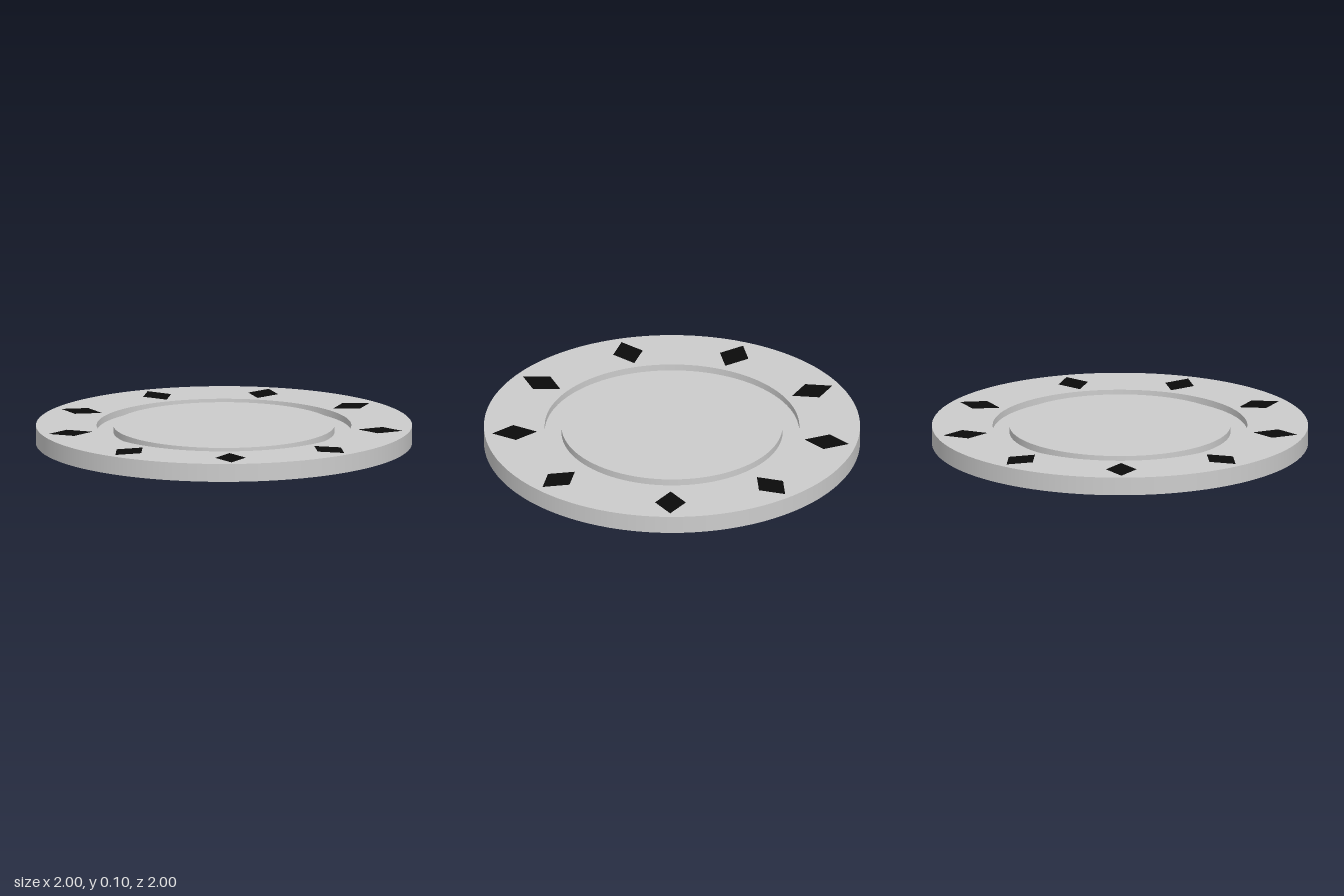
import * as THREE from 'three';

const SEG = 96, TOP = 0.097, FLOOR = 0.061;
const R_OUT = 1, R_GROOVE = 0.677, R_DISC = 0.588;

const circlePath = (path, r) => path.absarc(0, 0, r, 0, Math.PI * 2, false);

// Diamond corners, pointing outwards at angle a (towards +z)
function diamondPoints(a) {
  return [[0.72, 0], [0.84, 0.082], [0.96, 0], [0.84, -0.082]].map(([x, y]) =>
    new THREE.Vector2(x, y).rotateAround(new THREE.Vector2(), -a));
}

export function createModel() {
  const chip = new THREE.Group();
  chip.name = 'chip';
  const grey = new THREE.MeshStandardMaterial({ name: 'grey', color: 0xcccccc, side: THREE.DoubleSide });
  const black = new THREE.MeshStandardMaterial({ name: 'black', color: 0x0a0a0a, side: THREE.DoubleSide });

  const add = (name, geometry, material, y) => {
    const mesh = new THREE.Mesh(geometry, material);
    mesh.name = name;
    mesh.position.y = y;
    chip.add(mesh);
  };
  const flat = (name, shape, material, y) =>
    add(name, new THREE.ShapeGeometry(shape, SEG / 2).rotateX(-Math.PI / 2), material, y);
  const wall = (name, r, y0, y1) =>
    add(name, new THREE.CylinderGeometry(r, r, y1 - y0, SEG, 1, true), grey, (y0 + y1) / 2);

  // Top ring with inlaid diamonds
  const ring = circlePath(new THREE.Shape(), R_OUT);
  ring.holes.push(circlePath(new THREE.Path(), R_GROOVE));
  for (let i = 0; i < 9; i++) {
    const points = diamondPoints(THREE.MathUtils.degToRad(39.35 * i));
    ring.holes.push(new THREE.Path(points));
    flat('diamond' + (i + 1), new THREE.Shape(points), black, TOP);
  }
  flat('topRing', ring, grey, TOP);

  // Sunken groove and centre disc
  const groove = circlePath(new THREE.Shape(), R_GROOVE);
  groove.holes.push(circlePath(new THREE.Path(), R_DISC));
  flat('grooveFloor', groove, grey, FLOOR);
  flat('centreDisc', circlePath(new THREE.Shape(), R_DISC), grey, TOP);

  // Upright walls; the underside stays open
  wall('outerWall', R_OUT, 0, TOP);
  wall('grooveOuterWall', R_GROOVE, FLOOR, TOP);
  wall('grooveInnerWall', R_DISC, FLOOR, TOP);

  return chip;
}
